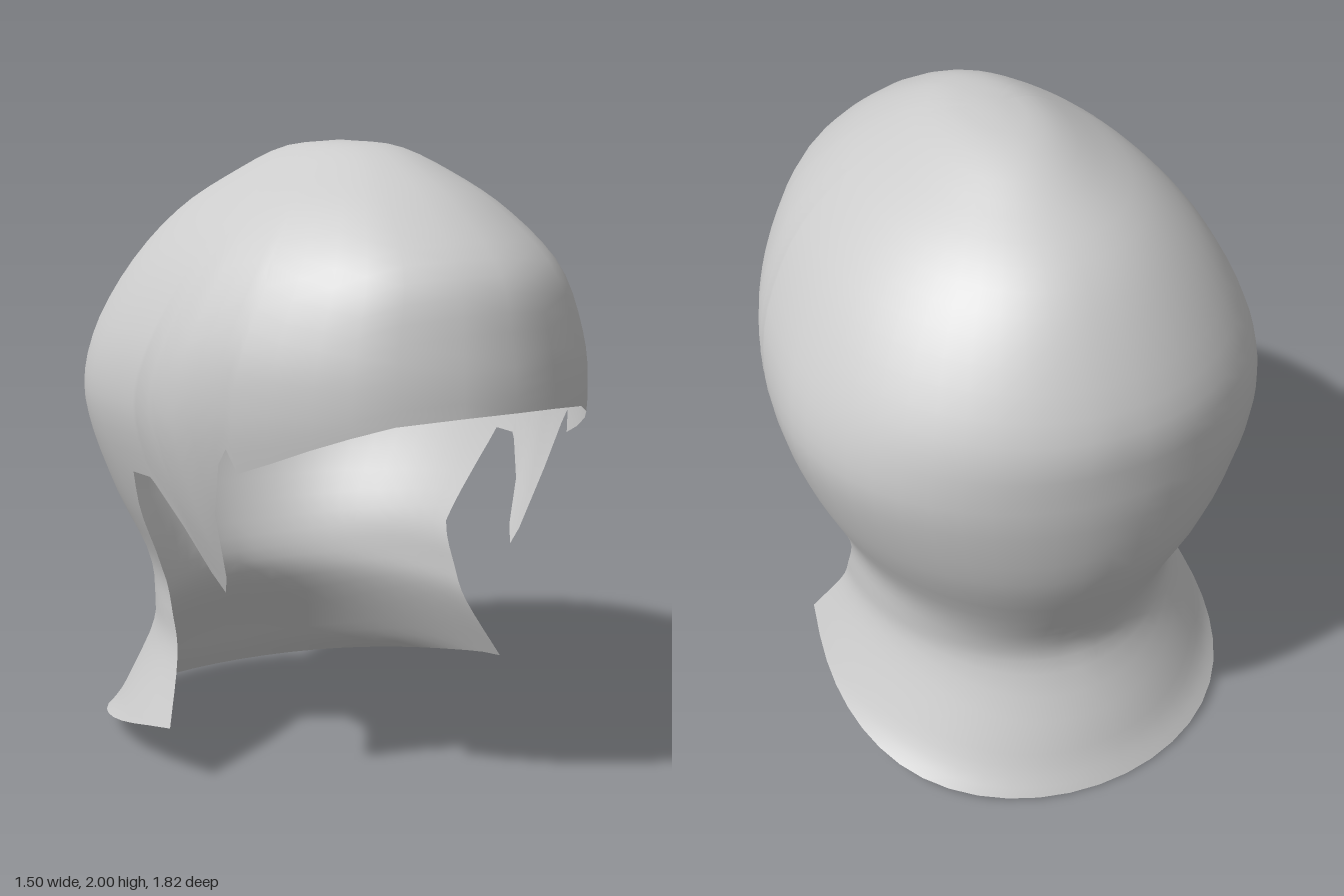
import * as THREE from 'three';
import { mergeVertices } from 'three/addons/utils/BufferGeometryUtils.js';

// Horizontal sections, crown to nape: y, half width, z of widest point, front z, back z
const SECTIONS = [
  [2, 0, 0, 0, 0], [1.98, 0.14, 0, 0.25, -0.25], [1.9, 0.29, 0, 0.46, -0.45],
  [1.79, 0.45, -0.02, 0.65, -0.64], [1.63, 0.6, -0.06, 0.83, -0.78],
  [1.43, 0.71, -0.12, 0.89, -0.89], [1.26, 0.75, -0.18, 0.91, -0.905],
  [1.1, 0.735, -0.18, 0.9, -0.9], [0.88, 0.665, -0.14, 0.9, -0.865],
  [0.65, 0.57, -0.1, 0.9, -0.77], [0.5, 0.56, -0.1, 0.9, -0.71],
  [0.38, 0.575, -0.1, 0.9, -0.715], [0.19, 0.66, -0.1, 0.9, -0.81],
  [0.08, 0.72, -0.14, 0.9, -0.86], [0, 0.82, -0.15, 0.9, -0.905],
];
// Lower edge of one side as z, y: fringe, step, pointed sideburn, top of ear opening
const RIM = [
  [0.91, 1.26], [0.885, 1.255], [0.8, 1.235], [0.72, 1.2], [0.63, 1.16], [0.52, 1.11],
  [0.42, 1.07], [0.395, 1.14], [0.36, 1.09], [0.3, 0.93], [0.25, 0.72], [0.22, 0.66],
  [0.18, 0.72], [0.13, 0.86], [0.05, 0.98], [0.03, 1.0], [-0.07, 1.0],
];
// Front edge of the back hair as z, y, from the ear opening to the nape corner
const EDGE = [[-0.07, 1.0], [-0.13, 0.86], [-0.16, 0.75], [-0.18, 0.65], [-0.07, 0.4], [0.04, 0.19]];
const EAR_Y = 1.0, UPPER_ROWS = 24, LOWER_ROWS = 18, BACK_COLS = 14;

const spline = (f) => new THREE.CatmullRomCurve3(SECTIONS.map(f), false, 'catmullrom', 0.5);
const widths = spline((s) => new THREE.Vector3(s[0], s[1], s[2]));
const depths = spline((s) => new THREE.Vector3(s[0], s[3], s[4]));

// Spline parameter at a given height
function paramAt(y) {
  let lo = 0, hi = 1;
  for (let i = 0; i < 30; i++) {
    const mid = (lo + hi) / 2;
    if (widths.getPoint(mid).y, widths.getPoint(mid).x > y) lo = mid; else hi = mid;
  }
  return (lo + hi) / 2;
}

// Point on the egg-shaped section; angle 0 is the front, PI the back
function surfacePoint(t, angle) {
  const { x: y, y: w, z: zc } = widths.getPoint(t);
  const { y: front, z: back } = depths.getPoint(t);
  const c = Math.cos(angle);
  return [w * Math.sin(angle), y, zc + c * (c > 0 ? front - zc : zc - back)];
}

// Angle at which a section passes through a given z
function angleAt(t, z) {
  const zc = widths.getPoint(t).z, d = depths.getPoint(t);
  const c = (z - zc) / (z > zc ? d.y - zc : zc - d.z);
  return Math.acos(THREE.MathUtils.clamp(c, -1, 1));
}

function edgeZ(y) {
  if (y >= EDGE[0][1]) return EDGE[0][0];
  for (let i = 1; i < EDGE.length; i++) {
    const [z0, y0] = EDGE[i - 1], [z1, y1] = EDGE[i];
    if (y >= y1) return THREE.MathUtils.mapLinear(y, y0, y1, z0, z1);
  }
  return EDGE[EDGE.length - 1][0];
}

// Columns of the cap: straight down from the crown to the rim
function capColumns() {
  const columns = RIM.map(([z, y], i) => {
    const t = paramAt(y);
    return { t, angle: i === 0 ? 0 : angleAt(t, z) };
  });
  const { t, angle } = columns[columns.length - 1];
  for (let j = 1; j <= BACK_COLS; j++) {
    columns.push({ t, angle: THREE.MathUtils.lerp(angle, Math.PI, j / BACK_COLS) });
  }
  return columns.map((c) => Array.from({ length: UPPER_ROWS + 1 },
    (_, k) => surfacePoint(c.t * k / UPPER_ROWS, c.angle)));
}

// Columns of the back hair: follow the slanted front edge and flare at the nape
function napeColumns() {
  const top = paramAt(EAR_Y), columns = [];
  for (let j = 0; j <= BACK_COLS; j++) {
    const u = j / BACK_COLS;
    const bottom = paramAt(0.19 * (1 - u) ** 2);
    columns.push(Array.from({ length: LOWER_ROWS + 1 }, (_, k) => {
      const t = THREE.MathUtils.lerp(top, bottom, k / LOWER_ROWS);
      const y = widths.getPoint(t).x;
      const start = angleAt(t, edgeZ(y));
      return surfacePoint(t, THREE.MathUtils.lerp(start, Math.PI, u));
    }));
  }
  return columns;
}

export function createModel() {
  const positions = [], index = [];

  // Joins a grid of columns into faces on one side of the head
  function addPatch(columns, side) {
    const base = positions.length / 3, rows = columns[0].length;
    for (const column of columns) for (const [x, y, z] of column) positions.push(side * x, y, z);
    for (let i = 0; i < columns.length - 1; i++) {
      for (let k = 0; k < rows - 1; k++) {
        const a = base + i * rows + k, b = a + rows, c = a + 1, d = b + 1;
        const faces = k === 0 && columns[0][0][1] > 1.99 ? [[a, c, d]] : [[a, c, b], [b, c, d]];
        for (const [p, q, r] of faces) index.push(p, ...(side > 0 ? [q, r] : [r, q]));
      }
    }
  }

  const cap = capColumns(), nape = napeColumns();
  for (const side of [1, -1]) {
    addPatch(cap, side);
    addPatch(nape, side);
  }

  let geometry = new THREE.BufferGeometry();
  geometry.setAttribute('position', new THREE.Float32BufferAttribute(positions, 3));
  geometry.setIndex(index);
  geometry = mergeVertices(geometry, 1e-4);
  geometry.computeVertexNormals();

  const hair = new THREE.Mesh(geometry,
    new THREE.MeshStandardMaterial({ color: 0xcccccc, side: THREE.DoubleSide }));
  hair.name = 'hairShell';
  const model = new THREE.Group();
  model.name = 'hair';
  model.add(hair);
  return model;
}
